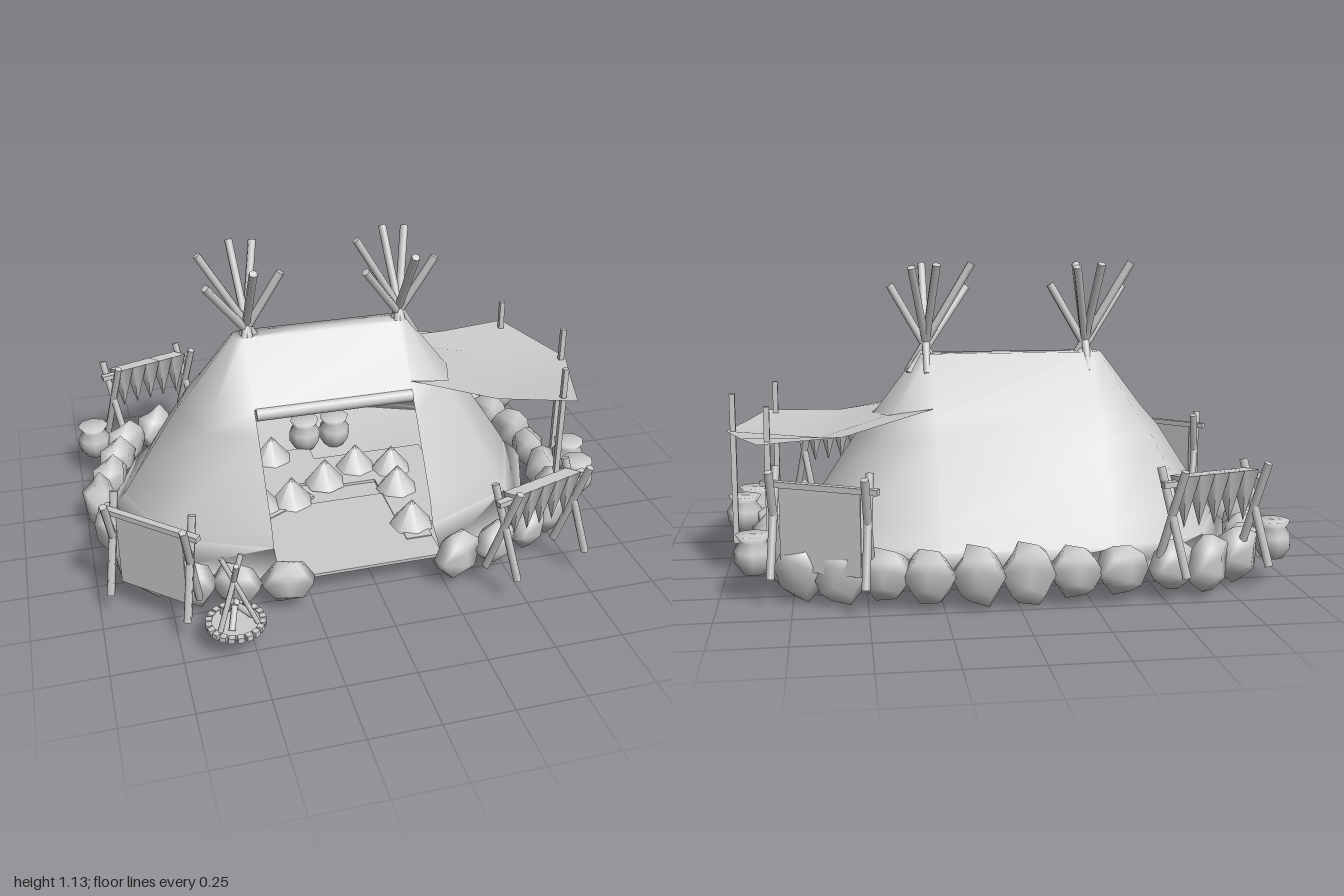
import * as THREE from 'three';
import { mergeVertices } from 'three/addons/utils/BufferGeometryUtils.js';

const mat = new THREE.MeshStandardMaterial({ color: 0xcccccc });
const thin = new THREE.MeshStandardMaterial({ color: 0xcccccc, side: THREE.DoubleSide });
const GROUND = 0.1;
const V = (x, y, z) => new THREE.Vector3(x, y, z);

let seed = 7;
const rand = () => (seed = (seed * 16807) % 2147483647) / 2147483647;

function add(parent, name, geo, x = 0, y = 0, z = 0, material = mat) {
  const m = new THREE.Mesh(geo, material);
  m.name = name;
  m.position.set(x, y, z);
  parent.add(m);
  return m;
}

// straight pole between two points
function pole(parent, name, a, b, r = 0.012, sides = 6) {
  const m = add(parent, name, new THREE.CylinderGeometry(r, r, a.distanceTo(b), sides));
  m.position.copy(a).lerp(b, 0.5);
  m.quaternion.setFromUnitVectors(V(0, 1, 0), b.clone().sub(a).normalize());
}

function meshFrom(points, index) {
  const g = new THREE.BufferGeometry().setFromPoints(points);
  g.setIndex(index);
  g.computeVertexNormals();
  return g;
}

// stadium-shaped rings [height, radius, front stretch]; the front bay is open from openRow down
function ringShell(rows, openRow, capY, capRow) {
  const n = 10, pts = [], idx = [];
  for (const [y, r, front] of rows) {
    for (let i = 0; i < n; i++) {
      const a = ((i < 5 ? i - 2 : i - 3) * Math.PI) / 4;
      const s = Math.sin(a) * r;
      pts.push(V((i < 5 ? 0.25 : -0.36) + Math.cos(a) * r, y, -0.11 + (s > 0 ? s * front : s)));
    }
  }
  for (let k = 0; k < rows.length - 1; k++) {
    for (let i = 0; i < n; i++) {
      if (i === 4 && k >= openRow) continue;
      const j = (i + 1) % n, u = k * n, l = u + n;
      idx.push(l + i, u + i, l + j, u + i, u + j, l + j);
    }
  }
  // cap over the first ring or floor inside the last one
  const c = pts.push(V(-0.05, capY, -0.11)) - 1;
  for (let i = 0; i < n; i++) {
    const p = capRow * n + i, q = capRow * n + ((i + 1) % n);
    idx.push(c, ...(capRow === 0 ? [q, p] : [p, q]));
  }
  return meshFrom(pts, idx);
}

// awning: three sagging rows running outward from the tent wall
function awningGeometry() {
  const rows = [
    [[0.25, 0.61, 0.09], [0.41, 0.58, 0.07], [0.46, 0.57, -0.09], [0.41, 0.58, -0.24], [0.245, 0.61, -0.3]],
    [[0.57, 0.54, 0.19], [0.65, 0.51, 0.05], [0.7, 0.49, -0.11], [0.65, 0.51, -0.27], [0.57, 0.54, -0.44]],
    [[0.87, 0.53, 0.27], [0.93, 0.52, 0.08], [0.995, 0.515, -0.12], [0.93, 0.52, -0.31], [0.86, 0.53, -0.5]],
  ];
  const idx = [];
  for (let k = 0; k < 2; k++)
    for (let i = 0; i < 4; i++) {
      const a = k * 5 + i, b = a + 5;
      idx.push(a, b, a + 1, a + 1, b, b + 1);
    }
  return meshFrom(rows.flat().map((p) => V(...p)), idx);
}

// irregular smooth boulder
function stoneGeometry() {
  let g = new THREE.DodecahedronGeometry(1);
  g.deleteAttribute('normal');
  g.deleteAttribute('uv');
  g = mergeVertices(g, 1e-3);
  const p = g.attributes.position;
  for (let i = 0; i < p.count; i++) {
    const k = 0.85 + rand() * 0.25;
    p.setXYZ(i, p.getX(i) * k, p.getY(i) * k, p.getZ(i) * k);
  }
  g.computeVertexNormals();
  return g;
}

// rack of two crossed pole pairs and a bar, hung with a hide or with strips
function rack(parent, name, x0, z0, x1, z1, hide) {
  const g = new THREE.Group();
  g.name = name;
  g.position.set((x0 + x1) / 2, 0, (z0 + z1) / 2);
  g.rotation.y = -Math.atan2(z1 - z0, x1 - x0);
  parent.add(g);
  const L = Math.hypot(x1 - x0, z1 - z0);
  for (const e of [-L / 2, L / 2])
    for (const s of [-1, 1])
      pole(g, 'rackLeg', V(e + s * 0.02, GROUND, s * 0.065), V(e - s * 0.015, 0.46, -s * 0.05), 0.015, 5);
  add(g, 'rackBar', new THREE.BoxGeometry(L + 0.08, 0.02, 0.025), 0, 0.41, 0);
  if (hide) {
    add(g, 'stretchedHide', new THREE.BoxGeometry(L - 0.05, 0.29, 0.006), 0, 0.265, 0);
    return;
  }
  for (let i = 0; i < 5; i++) {
    const strip = add(g, 'dryingStrip', new THREE.ConeGeometry(0.05, 0.18, 4), (i - 2) * L * 0.18, 0.345, 0);
    strip.rotation.set(Math.PI, 0.5, 0);
    strip.scale.z = 0.6;
  }
}

export function createModel() {
  const model = new THREE.Group();
  model.name = 'tentCamp';

  // tent skin, steep skirt with floor, and entry
  add(model, 'tentSkin', ringShell([[0.79, 0.04, 1.1], [0.58, 0.2, 1.1], [0.5, 0.27, 1.05], [0.24, 0.44, 1.08],
    [0.16, 0.49, 1.04]], 1, 0.79, 0), 0, 0, 0, thin);
  add(model, 'tentSkirt', ringShell([[0.16, 0.49, 1.04], [0.09, 0.565, 1.1]], 0, GROUND, 1), 0, 0, 0, thin);
  pole(model, 'rolledDoorFlap', V(-0.355, 0.56, 0.11), V(0.25, 0.56, 0.11), 0.025, 8);
  add(model, 'entryFloor', new THREE.BoxGeometry(0.61, 0.012, 0.45), -0.055, GROUND, 0.295);

  // smoke-hole pole bundles, crossing just above the ridge
  const tips = [[0.06, 1.11, -0.14], [-0.03, 1.12, -0.14], [-0.17, 1.12, -0.01],
    [-0.16, 1.03, 0.09], [0, 1.11, 0.19], [0.13, 1.04, 0.03]];
  for (const cx of [-0.34, 0.26])
    for (const [x, y, z] of tips)
      pole(model, 'tentPole', V(cx - x * 0.4, 0.72, -0.11 - z * 0.4), V(cx + x, y, -0.11 + z), 0.016);

  // awning and its posts
  add(model, 'awning', awningGeometry(), 0, 0, 0, thin);
  for (const [x, z] of [[0.83, 0.22], [0.97, -0.11], [0.83, -0.43]])
    add(model, 'awningPost', new THREE.BoxGeometry(0.02, 0.56, 0.02), x, 0.37, z);

  // ring of boulders, long side along the ring
  const ring = [
    [-0.66, -0.67], [-0.53, -0.68], [-0.35, -0.71], [-0.19, -0.715], [-0.03, -0.715], [0.14, -0.72],
    [0.3, -0.71], [0.44, -0.67], [0.59, -0.63], [0.73, -0.56], [-0.8, -0.57], [-0.85, -0.46],
    [-0.89, -0.32], [-0.945, -0.16], [-0.92, 0.05], [-0.88, 0.2], [-0.81, 0.35], [-0.68, 0.465],
    [-0.52, 0.51], [-0.34, 0.545], [0.3, 0.545], [0.46, 0.51], [0.62, 0.44], [0.75, 0.35],
    [0.81, 0.22], [0.84, 0.07], [0.85, -0.1], [0.84, -0.26], [0.8, -0.42],
  ];
  const shapes = [0, 1, 2, 3].map(stoneGeometry);
  ring.forEach(([x, z], i) => {
    const s = add(model, 'ringStone', shapes[i % 4], x, 0.115, z);
    s.scale.set(0.098, 0.09 + rand() * 0.025, 0.066);
    s.rotation.y = Math.atan2(x * 0.6, z + 0.1) + (rand() - 0.5) * 0.4;
  });

  // lidded clay pots
  const profile = [[0, 0], [0.04, 0], [0.066, 0.04], [0.066, 0.08], [0.046, 0.11], [0.062, 0.135], [0, 0.135]];
  const pot = new THREE.LatheGeometry(profile.map(([x, y]) => new THREE.Vector2(x, y)), 8);
  for (const [x, z] of [[0.95, 0.07], [0.92, 0.22], [0.88, -0.52], [-0.93, -0.56], [0.07, -0.38], [-0.06, -0.38]])
    add(model, 'pot', pot, x, 0.095, z);

  // sleeping mats and heaps inside the tent
  for (const [x, z, w, d, a] of [[0.28, 0.03, 0.26, 0.56, 0], [0.15, -0.14, 0.5, 0.22, 0], [0.2, 0.31, 0.1, 0.18, 0],
    [-0.35, -0.21, 0.6, 0.27, 0], [-0.36, 0.02, 0.42, 0.24, 0.5]])
    add(model, 'mat', new THREE.BoxGeometry(w, 0.02, d), x, GROUND, z).rotation.y = a;
  const heap = new THREE.ConeGeometry(0.085, 0.11, 7);
  for (const [x, z] of [[-0.34, 0.04], [-0.21, 0.03], [-0.05, -0.07], [-0.47, -0.1], [-0.37, -0.22],
    [-0.22, -0.3], [0.1, -0.15], [0.24, -0.1], [0.22, 0.05], [0.2, 0.3]])
    add(model, 'heap', heap, x, 0.16, z);

  // hide frames and drying racks
  rack(model, 'frontHideFrame', -0.93, 0.38, -0.69, 0.6, true);
  rack(model, 'backHideFrame', 0.5, -0.72, 0.81, -0.56, true);
  rack(model, 'frontDryingRack', 0.42, 0.68, 0.73, 0.58, false);
  rack(model, 'backDryingRack', -0.83, -0.64, -0.51, -0.74, false);

  // campfire with toothed rim and tripod
  const fire = new THREE.Group();
  fire.name = 'campfire';
  fire.position.set(-0.56, 0, 0.7);
  model.add(fire);
  add(fire, 'fireBed', new THREE.CylinderGeometry(0.09, 0.09, 0.012, 16), 0, GROUND, 0);
  for (let i = 0; i < 20; i++) {
    const a = (i / 20) * Math.PI * 2;
    add(fire, 'rimStone', new THREE.BoxGeometry(0.022, 0.02, 0.022), Math.cos(a) * 0.093, GROUND, Math.sin(a) * 0.093).rotation.y = -a;
  }
  for (let i = 0; i < 3; i++) {
    const a = (i / 3) * Math.PI * 2 + 0.4, c = Math.cos(a), s = Math.sin(a);
    pole(fire, 'tripodLeg', V(c * 0.08, GROUND, s * 0.08), V(-c * 0.04, 0.36, -s * 0.04), 0.01);
    pole(fire, 'firewood', V(-s * 0.06, GROUND + 0.01, c * 0.06), V(s * 0.01, 0.19, -c * 0.01), 0.012);
  }
  return model;
}
